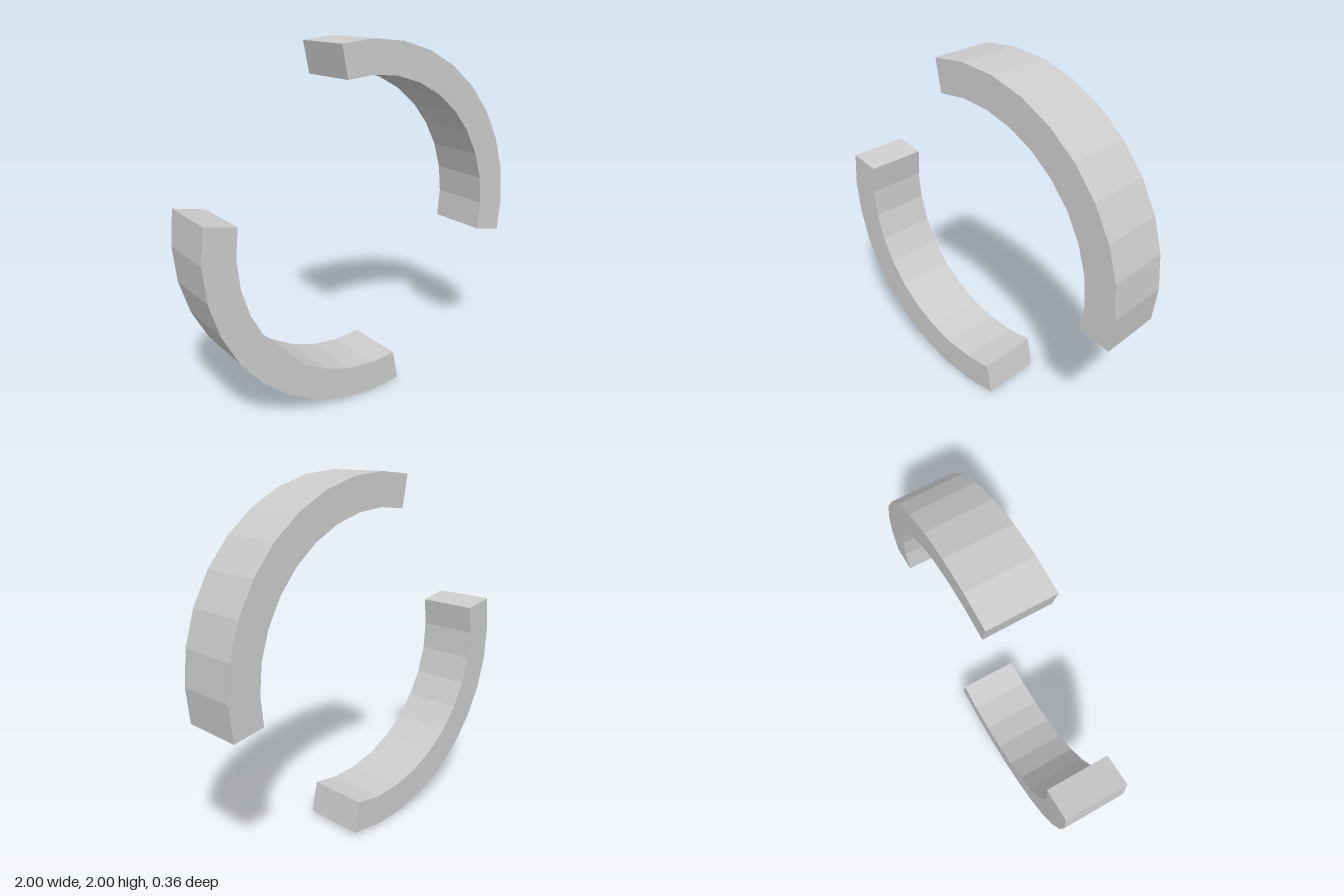
import * as THREE from 'three';

const OUTER = 1, INNER = 0.82, DEPTH = 0.36, SEGMENTS = 10;
const STEP = Math.PI / 16; // one facet of a 32-sided ring

// Faceted arc of a ring with a rectangular section, starting at angle "start"
function arcGeometry(start) {
  const points = [];
  const at = (r, i) => {
    const a = start + i * STEP;
    return new THREE.Vector2(r * Math.cos(a), r * Math.sin(a));
  };
  for (let i = 0; i <= SEGMENTS; i++) points.push(at(OUTER, i));
  for (let i = SEGMENTS; i >= 0; i--) points.push(at(INNER, i));
  const geometry = new THREE.ExtrudeGeometry(new THREE.Shape(points), {
    depth: DEPTH, bevelEnabled: false,
  });
  return geometry.translate(0, 1, -DEPTH / 2);
}

export function createModel() {
  const model = new THREE.Group();
  model.name = 'splitRing';
  const material = new THREE.MeshStandardMaterial({ color: 0xcccccc, flatShading: true });

  // Two opposite arcs, half a turn apart
  ['upperArc', 'lowerArc'].forEach((name, i) => {
    const arc = new THREE.Mesh(arcGeometry(-STEP + i * Math.PI), material);
    arc.name = name;
    model.add(arc);
  });
  return model;
}
